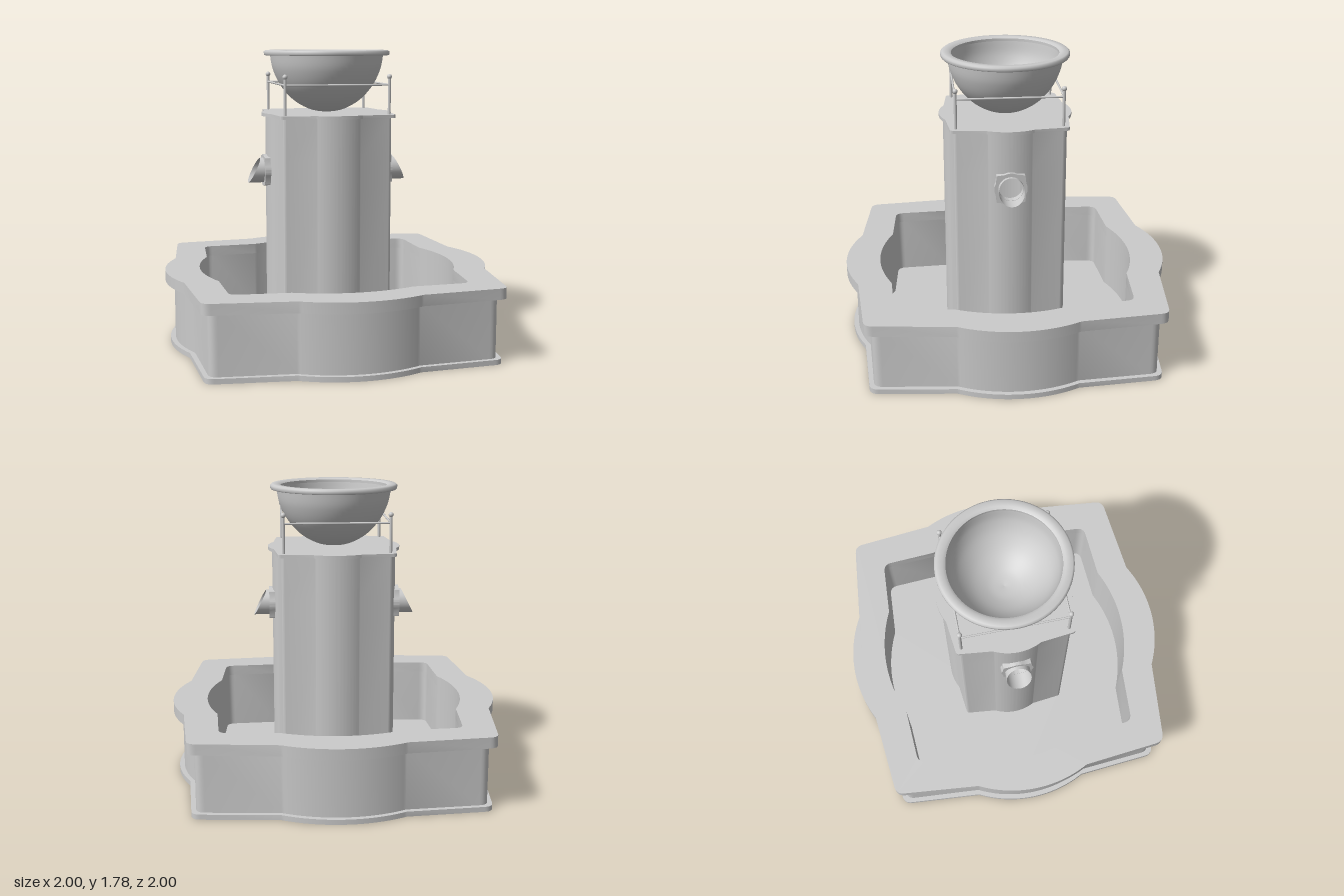
import * as THREE from 'three';
import { toCreasedNormals } from 'three/addons/utils/BufferGeometryUtils.js';

const material = new THREE.MeshStandardMaterial({ color: 0xcccccc, side: THREE.DoubleSide });

// Four-sided outline: each side bulges to "edge" in the middle, dips at
// (joinX, joinDepth) and runs on to a rounded corner at "corner".
function outline(edge, corner, joinX, joinDepth, round = 0.05) {
  const sag = edge - joinDepth;
  const radius = (joinX * joinX + sag * sag) / (2 * sag);
  const half = Math.asin(joinX / radius);
  const side = [];
  for (let i = -20; i <= 20; i++) {
    const a = (i / 20) * half;
    side.push(new THREE.Vector2(edge - radius + radius * Math.cos(a), radius * Math.sin(a)));
  }
  const tip = new THREE.Vector2(corner, corner);
  const from = tip.clone().lerp(new THREE.Vector2(joinDepth, joinX), round / (corner - joinX));
  const to = new THREE.Vector2(from.y, from.x);
  side.push(...new THREE.QuadraticBezierCurve(from, tip, to).getPoints(6));
  const points = [];
  for (let k = 0; k < 4; k++) {
    for (const p of side) points.push(p.clone().rotateAround(new THREE.Vector2(), k * Math.PI / 2));
  }
  return points;
}

const scaledOutline = (s) => outline(s, 0.86 * s, 0.35 * s, 0.915 * s, 0.04 * s);

function add(parent, name, geometry, x = 0, y = 0, z = 0) {
  const mesh = new THREE.Mesh(geometry, material);
  mesh.name = name;
  mesh.position.set(x, y, z);
  parent.add(mesh);
  return mesh;
}

function shapeWithHole(points, hole) {
  const shape = new THREE.Shape(points);
  if (hole) shape.holes.push(new THREE.Path(hole));
  return shape;
}

// Horizontal slab between two heights
function slab(points, hole, y0, y1) {
  const g = new THREE.ExtrudeGeometry(shapeWithHole(points, hole), { depth: y1 - y0, bevelEnabled: false });
  g.rotateX(-Math.PI / 2).translate(0, y0, 0);
  return toCreasedNormals(g, 0.5);
}

// Upright wall in bands; "keep" tells which segments of a band exist
function bandedWall(points, heights, keep) {
  const pos = [];
  for (let b = 0; b < heights.length - 1; b++) {
    const lo = heights[b], hi = heights[b + 1];
    points.forEach((p, i) => {
      const q = points[(i + 1) % points.length];
      if (!keep(b, (p.x + q.x) / 2, (p.y + q.y) / 2)) return;
      const A = [p.x, lo, -p.y], B = [q.x, lo, -q.y], C = [q.x, hi, -q.y], D = [p.x, hi, -p.y];
      pos.push(...A, ...B, ...C, ...A, ...C, ...D);
    });
  }
  const g = new THREE.BufferGeometry();
  g.setAttribute('position', new THREE.Float32BufferAttribute(pos, 3));
  return toCreasedNormals(g, 0.5);
}

function makeBasin() {
  const basin = new THREE.Group();
  basin.name = 'basin';
  const inner = outline(0.79, 0.695, 0.35, 0.715);
  add(basin, 'basinPlinth', slab(outline(0.975, 0.85, 0.35, 0.89), inner, 0, 0.03));
  add(basin, 'basinWall', slab(outline(0.945, 0.825, 0.35, 0.86), inner, 0.03, 0.385));
  add(basin, 'basinRim', slab(outline(1, 0.865, 0.35, 0.915), inner, 0.385, 0.45));
  const floor = new THREE.ShapeGeometry(shapeWithHole(inner, scaledOutline(0.375)));
  add(basin, 'basinFloor', floor.rotateX(-Math.PI / 2), 0, 0.03, 0);
  return basin;
}

function makeTower() {
  const tower = new THREE.Group();
  tower.name = 'tower';
  // Hollow shaft, open where the spouts enter
  const open = (b, x, z) => b === 1 && Math.abs(x) > 0.3 && Math.abs(z) < 0.08;
  add(tower, 'towerShaft', bandedWall(scaledOutline(0.376), [0.03, 0.97, 1.13, 1.38], (...a) => !open(...a)));
  add(tower, 'towerCap', slab(scaledOutline(0.4), null, 1.38, 1.4));
  return tower;
}

function makeSpout(name) {
  const spout = new THREE.Group();
  spout.name = name;
  const hole = new THREE.Path().absarc(0, 0, 0.073, 0, Math.PI * 2, true).getPoints(32);
  const plate = new THREE.ExtrudeGeometry(shapeWithHole(scaledOutline(0.097), hole), { depth: 0.045, bevelEnabled: false });
  add(spout, 'spoutPlate', toCreasedNormals(plate.rotateY(Math.PI / 2), 0.5), 0.352, 1.05, 0);
  // Pipe with its mouth cut at a slant, longest at the bottom
  const pipe = new THREE.CylinderGeometry(0.075, 0.075, 1, 40, 1, true).rotateZ(-Math.PI / 2);
  const p = pipe.attributes.position;
  for (let i = 0; i < p.count; i++) {
    p.setX(i, p.getX(i) > 0 ? 0.4525 - p.getY(i) * 0.5 : 0.353);
  }
  add(spout, 'spoutPipe', pipe, 0, 1.05, 0);
  return spout;
}

function makeRailing() {
  const railing = new THREE.Group();
  railing.name = 'railing';
  const d = 0.312;
  for (let k = 0; k < 4; k++) {
    const side = new THREE.Group();
    side.name = 'railingSide';
    side.rotation.y = k * Math.PI / 2;
    add(side, 'railPost', new THREE.CylinderGeometry(0.009, 0.009, 0.22, 12), d, 1.51, d);
    add(side, 'postKnob', new THREE.SphereGeometry(0.015, 16, 12), d, 1.623, d);
    add(side, 'rail', new THREE.CylinderGeometry(0.006, 0.006, 2 * d, 10).rotateZ(Math.PI / 2), 0, 1.575, d);
    railing.add(side);
  }
  return railing;
}

function makeBowl() {
  const bowl = new THREE.Group();
  bowl.name = 'bowl';
  const curve = (pts) => new THREE.SplineCurve(pts.map(([x, y]) => new THREE.Vector2(x, y))).getPoints(28);
  const outer = curve([[0, 1.4], [0.1, 1.417], [0.2, 1.472], [0.28, 1.56], [0.328, 1.66], [0.345, 1.75]]);
  const inner = curve([[0.32, 1.75], [0.305, 1.665], [0.262, 1.575], [0.185, 1.493], [0.09, 1.441], [0, 1.425]]);
  add(bowl, 'bowlOutside', new THREE.LatheGeometry(outer, 64));
  add(bowl, 'bowlInside', new THREE.LatheGeometry(inner, 64));
  // Flat lip with softened edges
  const lip = [[0.32, 1.745], [0.378, 1.745], [0.382, 1.75], [0.382, 1.768], [0.372, 1.776], [0.335, 1.776], [0.32, 1.766], [0.32, 1.745]];
  const lipGeometry = new THREE.LatheGeometry(lip.map(([x, y]) => new THREE.Vector2(x, y)), 64);
  add(bowl, 'bowlLip', toCreasedNormals(lipGeometry, 0.9));
  return bowl;
}

export function createModel() {
  const model = new THREE.Group();
  model.name = 'fountain';
  const left = makeSpout('leftSpout');
  const right = makeSpout('rightSpout');
  right.rotation.y = Math.PI;
  model.add(makeBasin(), makeTower(), left, right, makeRailing(), makeBowl());
  return model;
}
